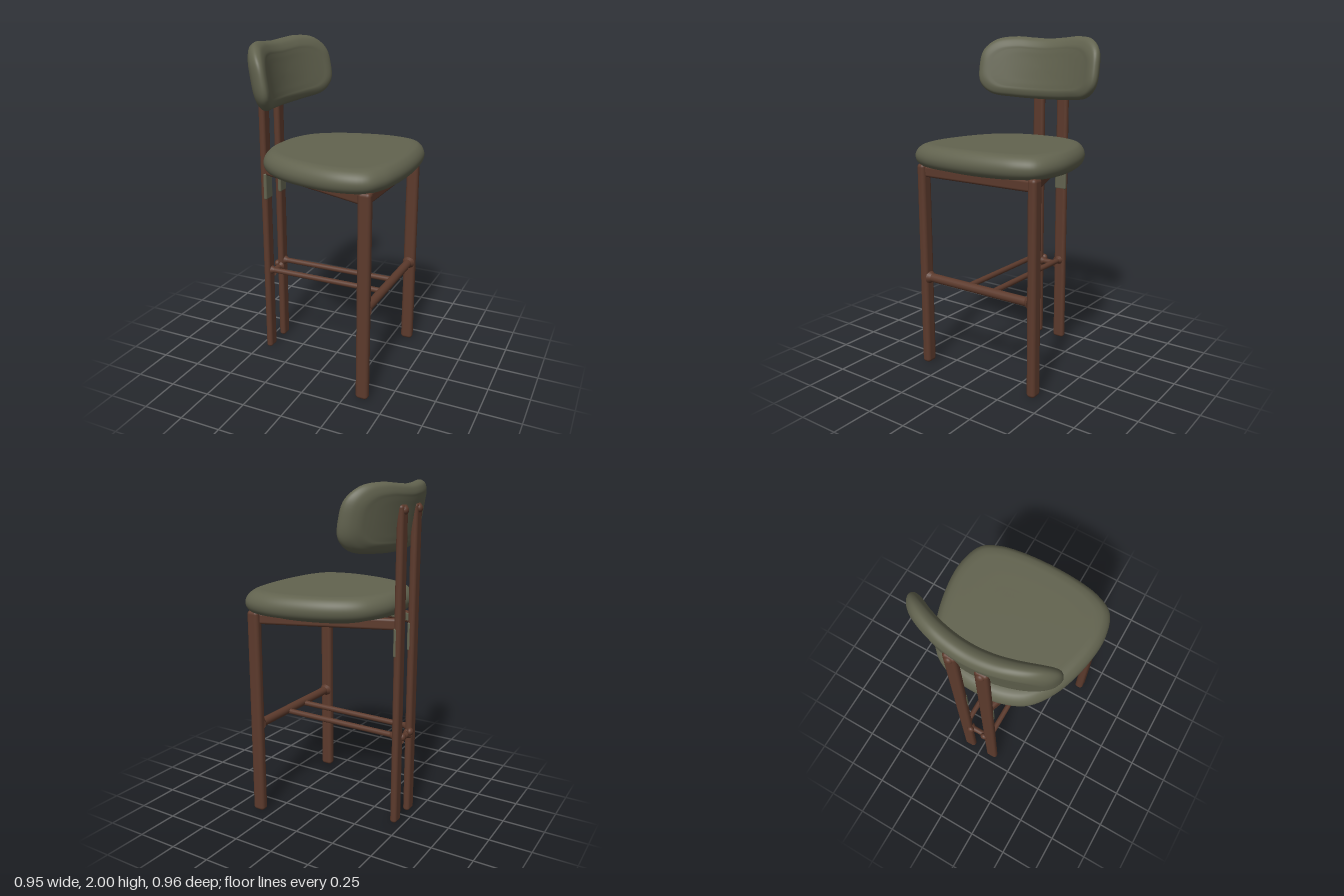
import * as THREE from 'three';
import { mergeVertices } from 'three/addons/utils/BufferGeometryUtils.js';
import { RoundedBoxGeometry } from 'three/addons/geometries/RoundedBoxGeometry.js';

const wood = new THREE.MeshStandardMaterial({ color: 0x5c3a2c });
wood.name = 'walnut wood';
const fabric = new THREE.MeshStandardMaterial({ color: 0x62634f });
fabric.name = 'olive fabric';

// Closed outline from one half [p, q], mirrored in q.
function outline(half) {
  const mirrored = half.slice(1, -1).reverse().map(([p, q]) => [p, -q]);
  const pts = [...half, ...mirrored].map(([p, q]) => new THREE.Vector3(p, q, 0));
  return new THREE.CatmullRomCurve3(pts, true);
}

// Upholstered pad: the outline is swept through profile rings [scale, inset, height].
function cushion(half, sizeP, sizeQ, profile, place) {
  const nu = 96, nv = 48, pos = [], idx = [];
  const edge = outline(half);
  const section = new THREE.CatmullRomCurve3(profile.map((r) => new THREE.Vector3(...r)));
  for (let j = 0; j <= nv; j++) {
    const r = section.getPoint(j / nv);
    for (let i = 0; i < nu; i++) {
      const e = edge.getPoint(i / nu);
      pos.push(...place(e.x * r.x * (1 - r.y / sizeP), e.y * r.x * (1 - r.y / sizeQ), r.z));
      if (j === nv) continue;
      const a = j * nu + i, b = j * nu + (i + 1) % nu;
      idx.push(a, b, b + nu, a, b + nu, a + nu);
    }
  }
  let g = new THREE.BufferGeometry();
  g.setAttribute('position', new THREE.Float32BufferAttribute(pos, 3));
  g.setIndex(idx);
  g = mergeVertices(g, 1e-5);
  g.computeVertexNormals();
  return g;
}

export function createModel() {
  const model = new THREE.Group();
  model.name = 'barStool';

  const add = (name, geometry, material, x = 0, y = 0, z = 0) => {
    const m = new THREE.Mesh(geometry, material);
    m.name = name;
    m.position.set(x, y, z);
    model.add(m);
    return m;
  };
  const block = (name, w, h, d, r, x, y, z, material = wood) =>
    add(name, new RoundedBoxGeometry(w, h, d, 4, r), material, x, y, z);
  // Flat rail between two plan points.
  const rail = (name, x1, z1, x2, z2, y, h, t, material = wood) => {
    const len = Math.hypot(x2 - x1, z2 - z1);
    const m = block(name, len, h, t, t * 0.4, (x1 + x2) / 2, y, (z1 + z2) / 2, material);
    m.rotation.y = -Math.atan2(z2 - z1, x2 - x1);
    return m;
  };
  // Round rod between two points, optionally tapered.
  const rod = (name, a, b, ra, rb = ra) => {
    const from = new THREE.Vector3(...a), to = new THREE.Vector3(...b);
    const dir = to.clone().sub(from);
    const m = add(name, new THREE.CylinderGeometry(rb, ra, dir.length(), 20), wood);
    m.position.copy(from).add(to).multiplyScalar(0.5);
    m.quaternion.setFromUnitVectors(new THREE.Vector3(0, 1, 0), dir.normalize());
    return m;
  };

  // Seat pad, wide at the front and narrowing to the back, with a bulging underside
  add('seat', cushion(
    [[0.442, 0], [0.43, 0.2], [0.402, 0.33], [0.342, 0.43], [0.187, 0.477], [-0.033, 0.455],
      [-0.233, 0.387], [-0.363, 0.29], [-0.428, 0.15], [-0.443, 0]],
    0.442, 0.477,
    [[0, 0.07, 1.39], [0.5, 0.07, 1.39], [0.9, 0.07, 1.39], [1, 0.06, 1.387], [1, 0.035, 1.378],
      [1, 0.01, 1.352], [1, 0, 1.32], [1, 0.007, 1.287], [1, 0.028, 1.263], [1, 0.06, 1.255],
      [0.72, 0.07, 1.218], [0, 0.07, 1.205]],
    (p, q, h) => [p + 0.033, h, q]), fabric);

  // Backrest pad, wrapped around the sitter and leaning back
  add('backrest', cushion(
    [[-0.185, 0], [-0.178, 0.2], [-0.155, 0.35], [-0.09, 0.415], [0.02, 0.428], [0.12, 0.412],
      [0.182, 0.345], [0.2, 0.23], [0.192, 0.11], [0.186, 0]],
    0.19, 0.428,
    [[0, 0.06, 0.055], [0.5, 0.06, 0.055], [0.9, 0.06, 0.055], [1, 0.045, 0.052], [1, 0.018, 0.038],
      [1, 0.004, 0.018], [1, 0, 0], [1, 0.004, -0.018], [1, 0.018, -0.038], [1, 0.045, -0.052],
      [0.9, 0.06, -0.055], [0.5, 0.06, -0.055], [0, 0.06, -0.055]],
    (p, q, h) => [-0.387 + 0.7 * q * q - 0.17 * p + h, 1.8 + p, q]), fabric);

  for (const s of [1, -1]) {
    // Legs: the rear pair runs up to carry the backrest
    block('frontLeg', 0.077, 1.27, 0.056, 0.022, 0.347, 0.635, s * 0.392);
    block('rearLeg', 0.042, 1.88, 0.077, 0.018, -0.44, 0.94, s * 0.088);
    block('rearLegFabric', 0.024, 0.17, 0.079, 0.01, -0.43, 1.12, s * 0.088, fabric);

    // Seat side rails with fabric on the inner face
    rail('sideRail', 0.347, s * 0.385, -0.435, s * 0.095, 1.224, 0.068, 0.04);
    rail('sideRailFabric', 0.31, s * 0.351, -0.41, s * 0.084, 1.228, 0.045, 0.009, fabric);

    // Long stretchers with flared ends
    rod('stretcher', [-0.43, 0.552, s * 0.088], [0.347, 0.556, s * 0.088], 0.017);
    rod('stretcherFlare', [-0.422, 0.552, s * 0.088], [-0.398, 0.552, s * 0.088], 0.029, 0.017);
    rod('footBarFlare', [0.347, 0.563, s * 0.368], [0.347, 0.563, s * 0.345], 0.04, 0.027);
    rod('bridgeFlare', [-0.44, 0.517, s * 0.052], [-0.44, 0.517, s * 0.036], 0.03, 0.018);

    // Domed wooden plugs on the back
    for (const [y, z] of [[1.85, 0.088], [0.535, 0.05]]) {
      const plug = add('plug', new THREE.SphereGeometry(0.024, 20, 12), wood, -0.457, y, s * z);
      plug.scale.x = 0.8;
    }
  }

  // Cross members
  rail('frontRail', 0.347, -0.38, 0.347, 0.38, 1.224, 0.068, 0.04);
  rod('footBar', [0.347, 0.563, -0.38], [0.347, 0.563, 0.38], 0.027);
  rod('rearBridge', [-0.44, 0.517, -0.07], [-0.44, 0.517, 0.07], 0.018);

  return model;
}
